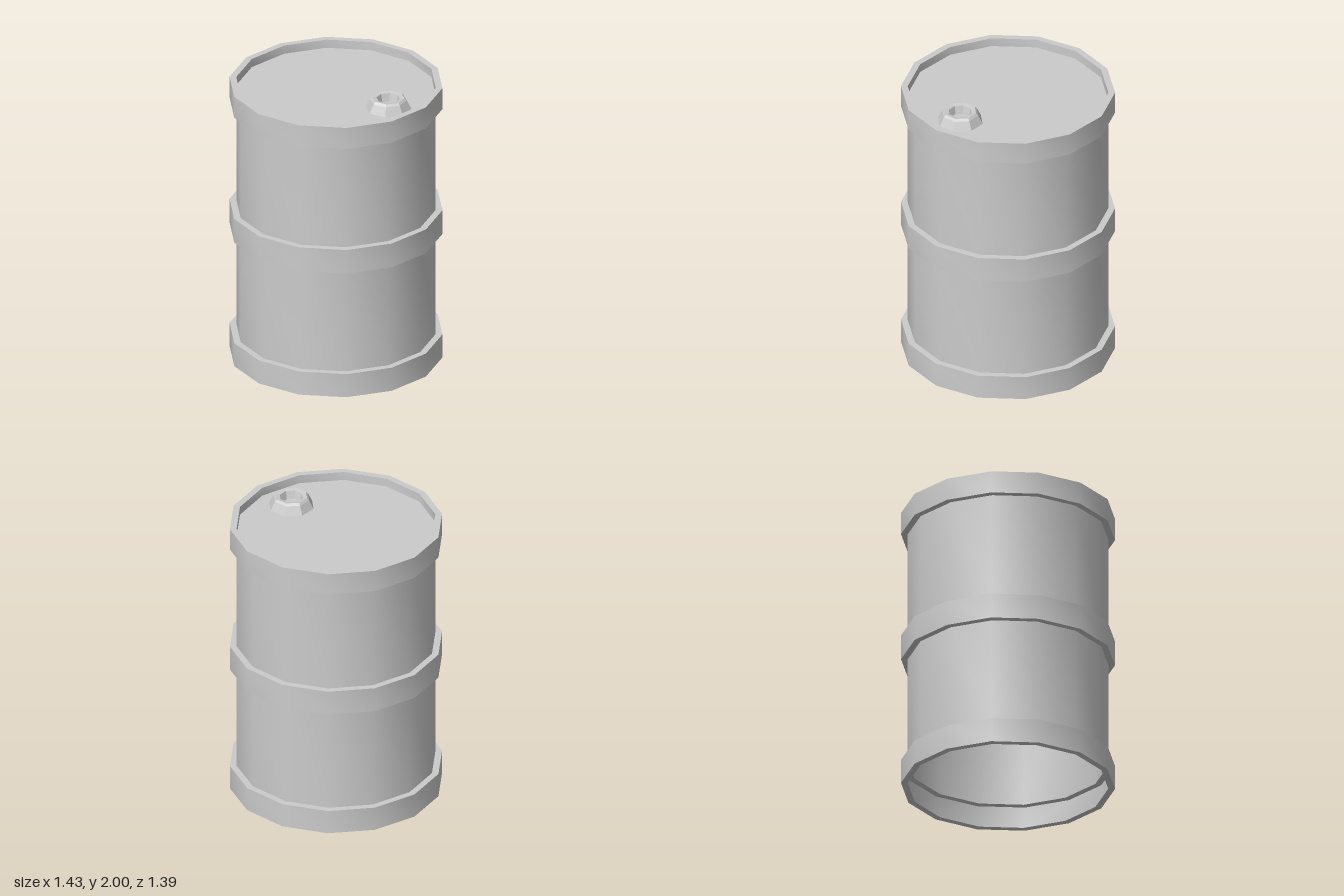
import * as THREE from 'three';
import { toCreasedNormals } from 'three/addons/utils/BufferGeometryUtils.js';

const SIDES = 14, BODY = 0.67, HOOP = 0.715, LID_Y = 1.925;

// Turn a profile of [radius, height] pairs, with a corner on the x axis
function turned(name, profile, sides, flat) {
  const points = profile.map(([r, y]) => new THREE.Vector2(r, y));
  const lathe = new THREE.LatheGeometry(points, sides, Math.PI / 2);
  const material = new THREE.MeshStandardMaterial({
    color: 0xcccccc, flatShading: flat, side: THREE.DoubleSide,
  });
  const mesh = new THREE.Mesh(flat ? lathe : toCreasedNormals(lathe, 0.6), material);
  mesh.name = name;
  return mesh;
}

export function createModel() {
  const barrel = new THREE.Group();
  barrel.name = 'barrel';

  // Open-bottomed wall, stepping out at each of the three hoops
  const hoops = [[0, 0.17], [0.91, 1.085], [1.83, 1.985]];
  const wall = hoops.flatMap(([low, high]) => [
    [BODY, low], [HOOP, low], [HOOP, high], [BODY, high],
  ]);
  barrel.add(turned('wallWithHoops', wall, SIDES, false));

  // Lid sunk below the top rim
  barrel.add(turned('sunkenLid', [[BODY, 1.985], [BODY, LID_Y], [0, LID_Y]], SIDES, false));

  // Eight-sided bung with a hollow centre
  const bung = turned('bung', [
    [0.155, LID_Y], [0.125, 1.985], [0.11, 2], [0.08, 1.995], [0.065, 1.94], [0, 1.94],
  ], 8, true);
  bung.position.set(0.38, 0, 0.22);
  barrel.add(bung);

  return barrel;
}
